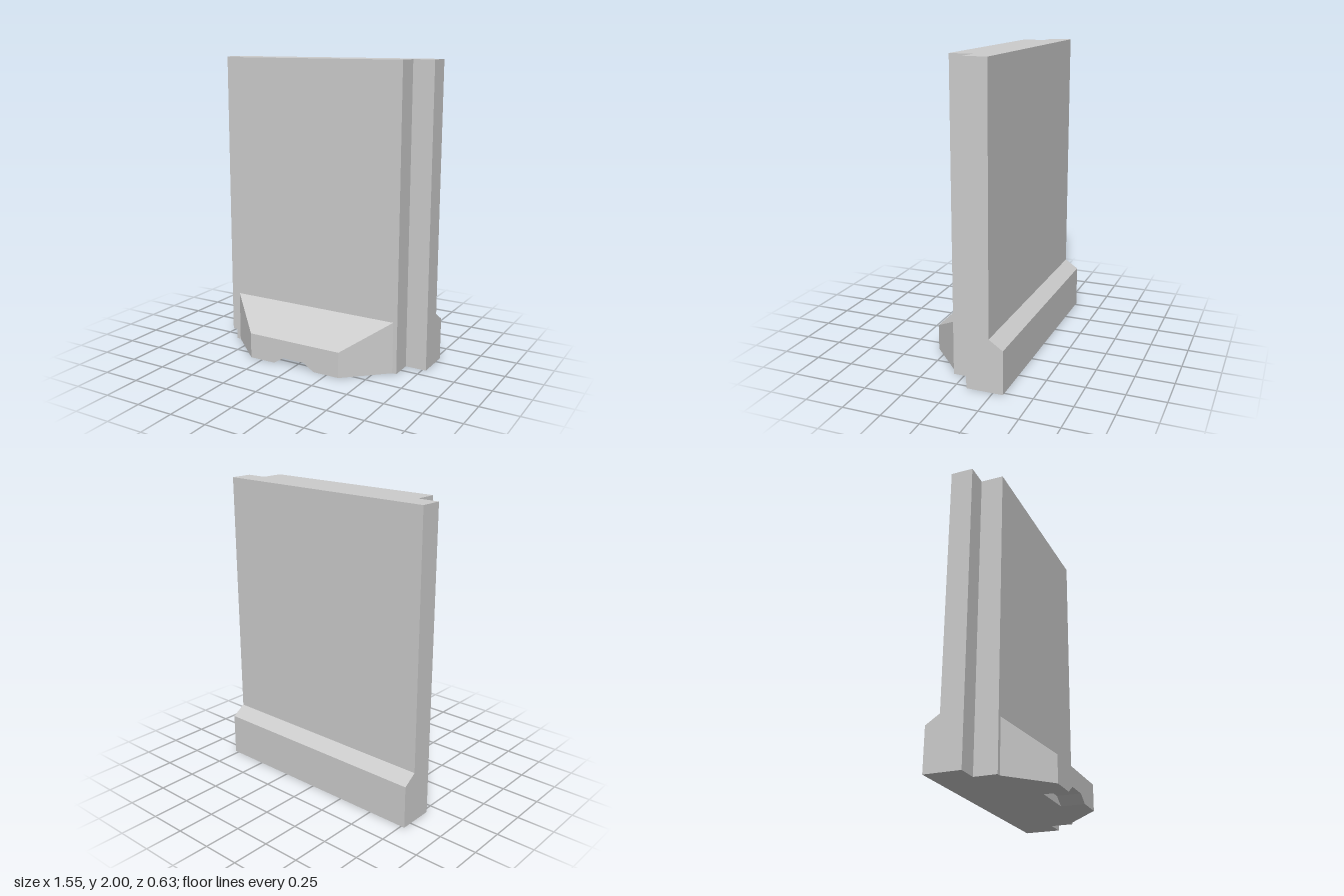
import * as THREE from 'three';

const material = new THREE.MeshStandardMaterial({ color: 0xcccccc, flatShading: true });

function part(name, geometry) {
  const mesh = new THREE.Mesh(geometry, material);
  mesh.name = name;
  return mesh;
}

function extrude(points, depth) {
  const shape = new THREE.Shape(points.map(([x, y]) => new THREE.Vector2(x, y)));
  return new THREE.ExtrudeGeometry(shape, { depth, bevelEnabled: false });
}

// Fans out polygons given for the +x half and mirrors them to the -x half.
function mirroredSolid(faces) {
  const positions = [];
  for (const face of faces) {
    for (let i = 1; i < face.length - 1; i++) {
      const [a, b, c] = [face[0], face[i], face[i + 1]];
      positions.push(...a, ...b, ...c);
      for (const [x, y, z] of [a, c, b]) positions.push(-x, y, z);
    }
  }
  const geometry = new THREE.BufferGeometry();
  geometry.setAttribute('position', new THREE.Float32BufferAttribute(positions, 3));
  geometry.computeVertexNormals();
  return geometry;
}

export function createModel() {
  const group = new THREE.Group();
  group.name = 'wallPanel';

  const halfWidth = 0.775, bodyHalf = 0.632;
  const back = -0.225, step = -0.077, front = 0.072, toe = 0.316;

  // Upright slab with stepped front edges: plan outline (x, -z) raised to full height
  const slab = extrude([
    [-halfWidth, -step], [-bodyHalf, -step], [-bodyHalf, -front], [bodyHalf, -front],
    [bodyHalf, -step], [halfWidth, -step], [halfWidth, -back], [-halfWidth, -back],
  ], 2);
  slab.rotateX(-Math.PI / 2);
  group.add(part('slab', slab));

  // Full-width skirting at the back: side profile (-z, y) swept along x
  const skirting = extrude([[-back, 0], [0.316, 0], [0.316, 0.285], [-back, 0.345]], halfWidth * 2);
  skirting.rotateY(Math.PI / 2);
  skirting.translate(-halfWidth, 0, 0);
  group.add(part('backSkirting', skirting));

  // Tapered front foot with a shallow notch under its toe
  const notchEnd = 0.16, notchTop = 0.048;
  const heel = [0.603, 0, front], heelTop = [0.603, 0.345, front];
  const toeLow = [0.338, 0, toe], toeTop = [0.338, 0.172, toe];
  const notchLow = [0.152, 0, toe], notchHigh = [0.08, notchTop, toe];
  const innerLow = [0.152, 0, notchEnd], innerHigh = [0.08, notchTop, notchEnd];
  const mid = ([, y, z]) => [0, y, z];
  group.add(part('frontFoot', mirroredSolid([
    [heel, heelTop, toeTop, toeLow],                                   // side
    [heelTop, mid(heelTop), mid(toeTop), toeTop],                      // sloping top
    [notchHigh, notchLow, toeLow, toeTop, mid(toeTop), mid(notchHigh)], // front
    [innerLow, mid(innerLow), mid(heel), heel, toeLow, notchLow],      // underside
    [mid(innerHigh), innerHigh, notchHigh, mid(notchHigh)],            // notch roof
    [innerHigh, innerLow, notchLow, notchHigh],                        // notch side
    [mid(innerLow), innerLow, innerHigh, mid(innerHigh)],              // notch end
  ])));

  return group;
}
